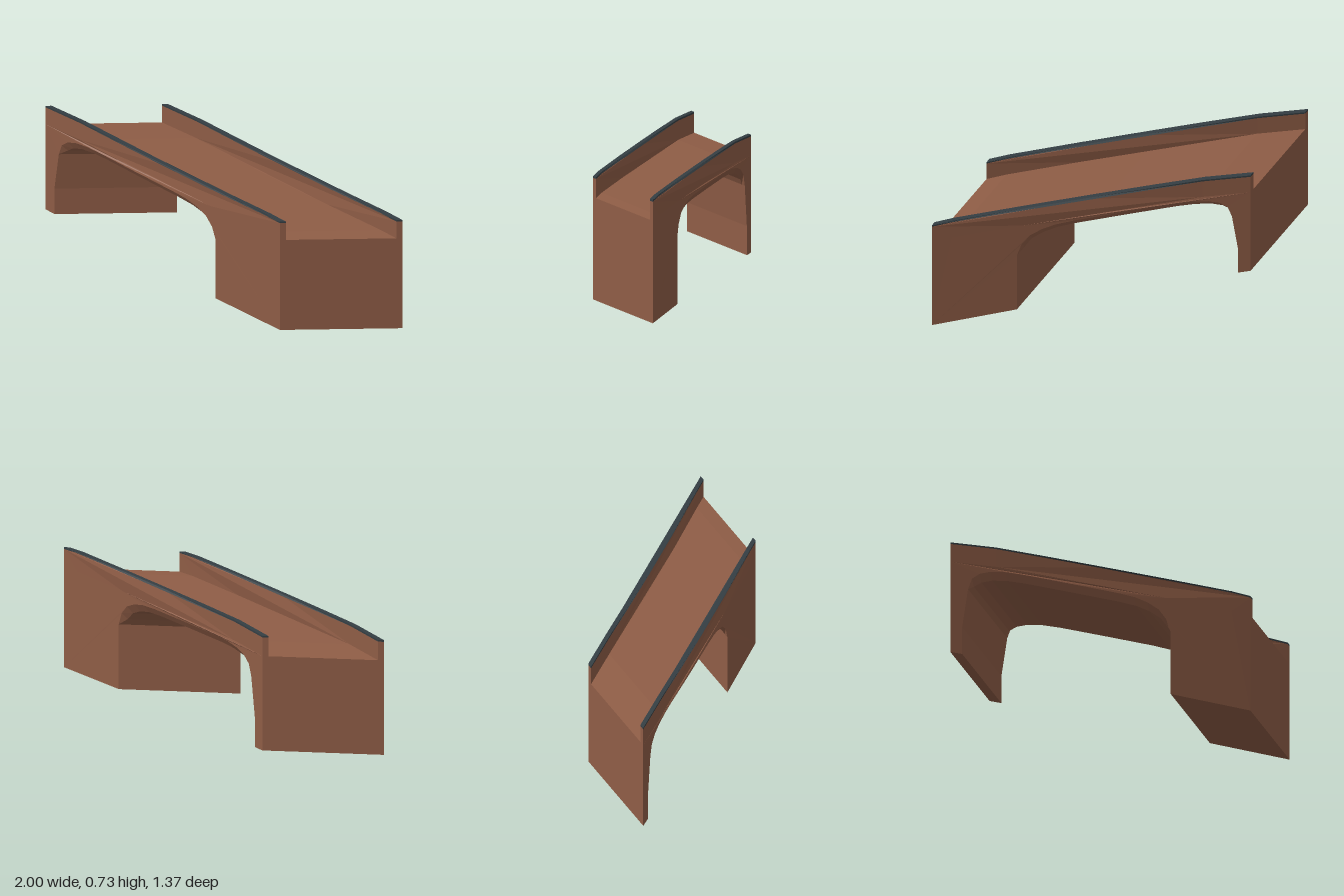
import * as THREE from 'three';

const HALF = 0.685;      // half length along z
const WIDTH = 0.7;       // bridge width along x
const WALL = 0.035;      // parapet thickness and arch chamfer depth

// x of the bridge's right edge: skewed in plan, with a slight bow
const edgeX = (z) => -0.35 + 0.65 * z / HALF - 0.02 * (1 - (z / HALF) ** 2);

// Lofts matching [z, y] profiles (counter-clockwise) across the bridge
function loft(rings) {
  const pos = [];
  const put = (r, i) => {
    const [z, y] = r.pts[i];
    pos.push(r.u + edgeX(z), y, z);
  };
  const n = rings[0].pts.length;
  for (let k = 0; k < rings.length - 1; k++) {
    const a = rings[k], b = rings[k + 1];
    for (let i = 0; i < n; i++) {
      const j = (i + 1) % n;
      put(a, i); put(b, i); put(b, j);
      put(a, i); put(b, j); put(a, j);
    }
  }
  // side faces
  const cap = (r, flip) => {
    const contour = r.pts.map(([z, y]) => new THREE.Vector2(z, y));
    for (const [i, j, k] of THREE.ShapeUtils.triangulateShape(contour, [])) {
      put(r, i); put(r, flip ? k : j); put(r, flip ? j : k);
    }
  };
  cap(rings[0], false);
  cap(rings[rings.length - 1], true);
  const g = new THREE.BufferGeometry();
  g.setAttribute('position', new THREE.Float32BufferAttribute(pos, 3));
  g.computeVertexNormals();
  return g;
}

// Parapet top line [z, y], front to back; the deck runs parallel below it
const TOP = [
  [HALF, 0.722], [0.6, 0.727], [0.3, 0.721], [0, 0.716],
  [-0.25, 0.713], [-0.475, 0.71], [-HALF, 0.69],
];
const lowered = (d) => TOP.map(([z, y]) => [z, y - d]);

// Arch [z, height at the face, height inside], back to front
const ARCH = [
  [-0.603, 0.415, 0.415], [-0.585, 0.485, 0.45], [-0.55, 0.525, 0.485],
  [-0.5, 0.55, 0.51], [-0.43, 0.565, 0.525], [-0.35, 0.57, 0.53],
  [-0.135, 0.57, 0.53], [0.08, 0.57, 0.53], [0.16, 0.565, 0.525],
  [0.22, 0.548, 0.508], [0.27, 0.518, 0.478], [0.305, 0.465, 0.43],
  [0.325, 0.39, 0.39],
];

const bodyProfile = (inside) => [
  [-HALF, 0], [-0.63, 0], [-0.63, 0.17],
  ...ARCH.map(([z, face, inner]) => [z, inside ? inner : face]),
  [0.325, 0], [HALF, 0],
  ...lowered(0.122),
];

// Strip between two depths below the top line
const stripProfile = (top, bottom) => [...lowered(bottom).reverse(), ...lowered(top)];

export function createModel() {
  const brick = new THREE.MeshStandardMaterial({ color: 0x8f5d46, flatShading: true });
  brick.name = 'brown brick';
  const slate = new THREE.MeshStandardMaterial({ color: 0x343e43, flatShading: true });
  slate.name = 'dark slate';

  const bridge = new THREE.Group();
  bridge.name = 'skewBridge';
  const add = (name, material, rings) => {
    const mesh = new THREE.Mesh(loft(rings), material);
    mesh.name = name;
    bridge.add(mesh);
  };

  // Abutments, arch with chamfered rims, and deck
  add('archBody', brick, [
    { u: 0, pts: bodyProfile(false) },
    { u: WALL, pts: bodyProfile(true) },
    { u: WIDTH - WALL, pts: bodyProfile(true) },
    { u: WIDTH, pts: bodyProfile(false) },
  ]);

  // Parapet walls with coping along both edges
  for (const [side, u] of [['right', 0], ['left', WIDTH - WALL]]) {
    const strip = (top, bottom) => [u, u + WALL].map((v) => ({ u: v, pts: stripProfile(top, bottom) }));
    add(side + 'Parapet', brick, strip(0.01, 0.122));
    add(side + 'Coping', slate, strip(0, 0.01));
  }
  return bridge;
}
